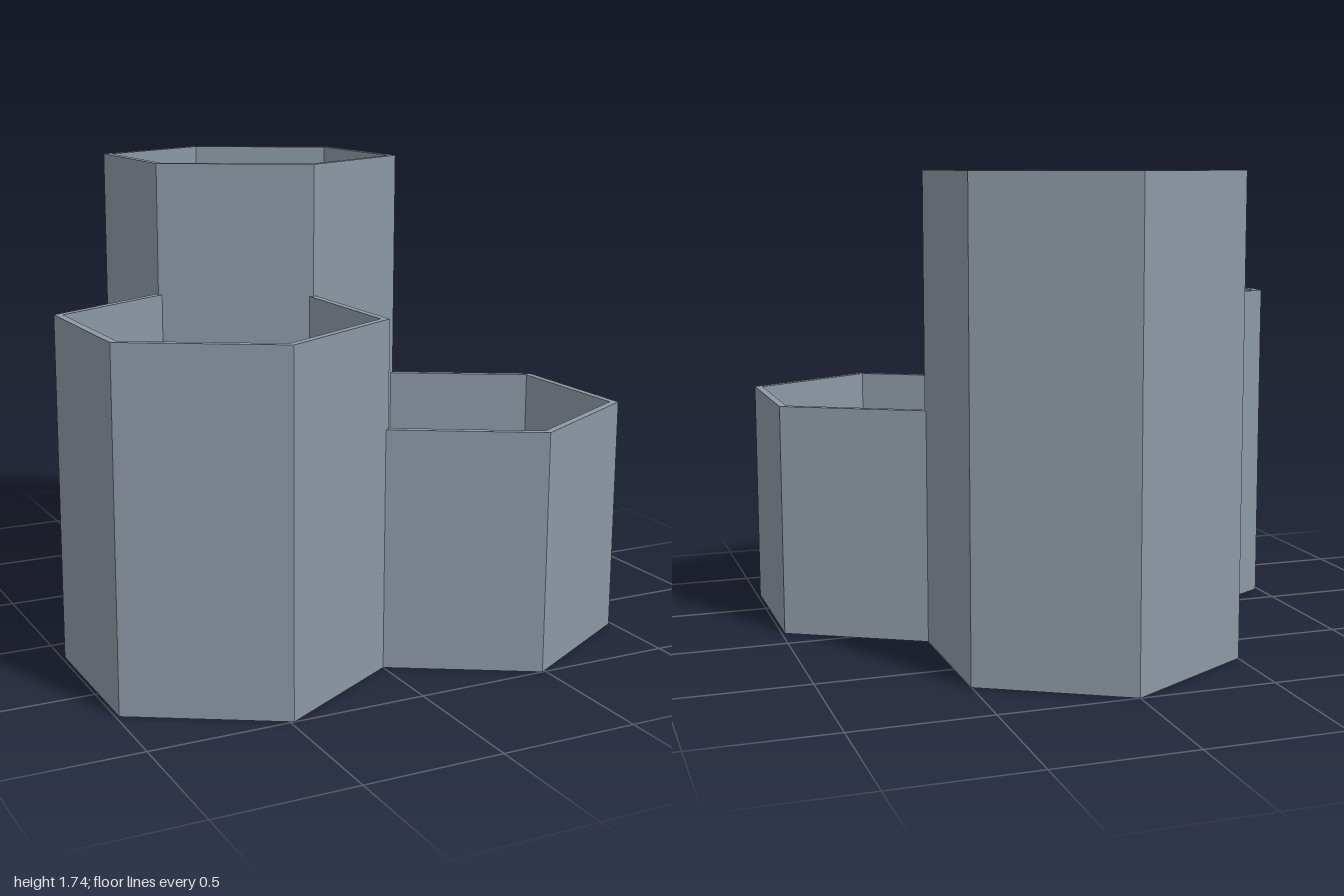
import * as THREE from 'three';

const OUTER = 0.579; // corner radius of a cup
const INNER = 0.547; // corner radius of its hollow
const FLOOR = 0.03;

// Corners of a hexagon with a point towards the front
function hexagon(radius) {
  return Array.from({ length: 6 }, (_, i) => {
    const a = (i / 6) * Math.PI * 2;
    return new THREE.Vector2(Math.sin(a) * radius, Math.cos(a) * radius);
  });
}

// Upright prism standing on y = 0
function prism(shape, height) {
  return new THREE.ExtrudeGeometry(shape, { depth: height, bevelEnabled: false }).rotateX(-Math.PI / 2);
}

// Open hexagonal cup: a hollow wall with a floor inside it
function createCup(name, x, z, height, material) {
  const cup = new THREE.Group();
  cup.name = name;
  const ring = new THREE.Shape(hexagon(OUTER));
  ring.holes.push(new THREE.Path(hexagon(INNER).reverse()));
  const wall = new THREE.Mesh(prism(ring, height), material);
  wall.name = 'wall';
  const floor = new THREE.Mesh(prism(new THREE.Shape(hexagon(INNER)), FLOOR), material);
  floor.name = 'floor';
  cup.add(wall, floor);
  cup.position.set(x, 0, z);
  return cup;
}

export function createModel() {
  const model = new THREE.Group();
  model.name = 'hexagonalHolder';
  const slate = new THREE.MeshStandardMaterial({ color: 0x8c98a4 });
  slate.name = 'slateGrey';

  // Neighbouring cups share one wall thickness
  model.add(
    createCup('tallBackCup', 0, -0.421, 1.74, slate),
    createCup('mediumRightCup', -0.487, 0.421, 1.255, slate),
    createCup('shortLeftCup', 0.487, 0.421, 0.87, slate)
  );
  return model;
}
